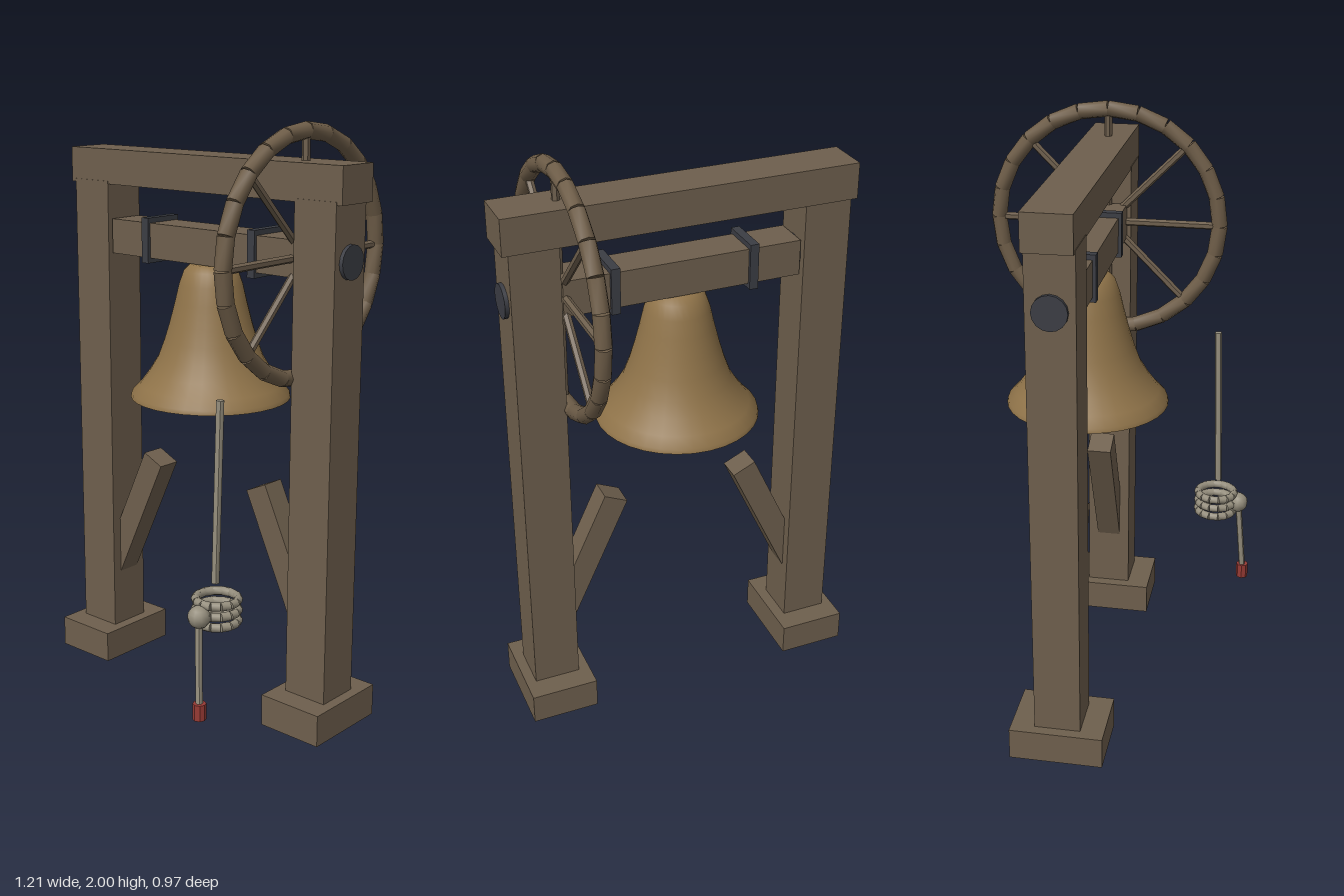
import * as THREE from 'three';
import { toCreasedNormals } from 'three/addons/utils/BufferGeometryUtils.js';

const mat = (color, flatShading = false) => new THREE.MeshStandardMaterial({ color, flatShading });
const wood = mat(0x6e5f4d, true);
const bronze = mat(0x8f7349);
const iron = mat(0x3b3d44);
const ropeMat = mat(0x948d7c);
const red = mat(0x963a34);

const Z = -0.057;      // centre plane of the frame
const AXLE_Y = 1.58;   // height of the swinging axis

export function createModel() {
  const root = new THREE.Group();

  const add = (name, geometry, material, x, y, z, parent = root) => {
    const mesh = new THREE.Mesh(geometry, material);
    mesh.name = name;
    mesh.position.set(x, y, z);
    parent.add(mesh);
    return mesh;
  };
  const box = (name, w, h, d, x, y, z, material = wood) =>
    add(name, new THREE.BoxGeometry(w, h, d), material, x, y, z);

  // Straight round bar between two points
  const bar = (name, a, b, radius, material, sides = 8, parent = root) => {
    const dir = b.clone().sub(a);
    const geometry = toCreasedNormals(new THREE.CylinderGeometry(radius, radius, dir.length(), sides), 1);
    const mid = a.clone().add(b).multiplyScalar(0.5);
    const mesh = add(name, geometry, material, mid.x, mid.y, mid.z, parent);
    mesh.quaternion.setFromUnitVectors(new THREE.Vector3(0, 1, 0), dir.normalize());
    return mesh;
  };

  // Ring made of straight bars; pointAt maps an angle to a point
  const segmentedRing = (name, count, radius, material, pointAt) => {
    const ring = new THREE.Group();
    ring.name = name;
    for (let i = 0; i < count; i++) {
      const a = (i / count) * Math.PI * 2;
      const b = ((i + 1) / count) * Math.PI * 2;
      bar(name + 'Segment', pointAt(a), pointAt(b), radius, material, 8, ring);
    }
    root.add(ring);
  };

  // Frame: feet, posts, braces, bearings and straps on both sides
  for (const s of [-1, 1]) {
    box('foot', 0.235, 0.11, 0.315, s * 0.488, 0.055, Z);
    box('post', 0.16, 1.66, 0.155, s * 0.49, 0.94, Z);
    const brace = box('brace', 0.088, 0.6, 0.085, s * 0.366, 0.516, Z);
    brace.rotation.z = s * 0.435;
    bar('bearing', new THREE.Vector3(s * 0.4, AXLE_Y, Z), new THREE.Vector3(s * 0.583, AXLE_Y, Z), 0.056, iron, 16);
    box('strap', 0.03, 0.155, 0.152, s * 0.235, AXLE_Y, Z, iron);
  }
  box('topBeam', 1.18, 0.12, 0.157, 0, 1.82, Z - 0.003);
  box('headstock', 0.805, 0.12, 0.13, 0, AXLE_Y, Z);

  // Bell: outer wall, lip and inner wall in one profile
  const profile = [
    [0, 1.16 + 0.32], [0.05, 1.475], [0.085, 1.45], [0.1, 1.39], [0.122, 1.29], [0.16, 1.19],
    [0.2, 1.13], [0.235, 1.09], [0.258, 1.06], [0.275, 1.06], [0.272, 1.075], [0.243, 1.105],
    [0.21, 1.15], [0.18, 1.2], [0.158, 1.26], [0.14, 1.32], [0.122, 1.39], [0.108, 1.45],
    [0.092, 1.495], [0.07, 1.517], [0, 1.522],
  ].map(([r, y]) => new THREE.Vector2(r, y));
  add('bell', toCreasedNormals(new THREE.LatheGeometry(profile, 32), 0.8), bronze, 0, 0, Z);
  bar('clapperRod', new THREE.Vector3(0, 1.49, Z), new THREE.Vector3(0, 1.08, Z), 0.011, iron);
  add('clapperBall', new THREE.SphereGeometry(0.034, 16, 12), iron, 0, 1.075, Z);

  // Wheel with eight spokes
  const WX = 0.392;
  const wheelPoint = (r) => (a) =>
    new THREE.Vector3(WX, AXLE_Y + r * Math.cos(a), Z + r * Math.sin(a));
  segmentedRing('wheelRim', 24, 0.0275, mat(0x6e5d48), wheelPoint(0.393));
  const hub = new THREE.Vector3(WX, AXLE_Y, Z);
  for (let i = 0; i < 8; i++) {
    bar('spoke', hub, wheelPoint(0.385)((i * Math.PI) / 4), 0.0135, wood, 6);
  }

  // Hanging rope, coil, knot and tail with a coloured tip
  bar('rope', new THREE.Vector3(WX, 1.187, 0.345), new THREE.Vector3(WX, 0.6, 0.364), 0.0125, ropeMat);
  for (const y of [0.475, 0.51, 0.545]) {
    segmentedRing('ropeCoil', 14, 0.0145, ropeMat, (a) =>
      new THREE.Vector3(WX + 0.068 * Math.sin(a), y, 0.357 + 0.068 * Math.cos(a)));
  }
  add('knot', new THREE.SphereGeometry(0.037, 10, 8), ropeMat, WX, 0.51, 0.441);
  const tailEnd = new THREE.Vector3(0.416, 0.21, 0.467);
  bar('ropeTail', new THREE.Vector3(WX, 0.51, 0.443), tailEnd, 0.0115, ropeMat);
  add('ropeTip', toCreasedNormals(new THREE.CylinderGeometry(0.022, 0.022, 0.054, 8), 0.6), red, 0.416, 0.206, 0.466);

  return root;
}
